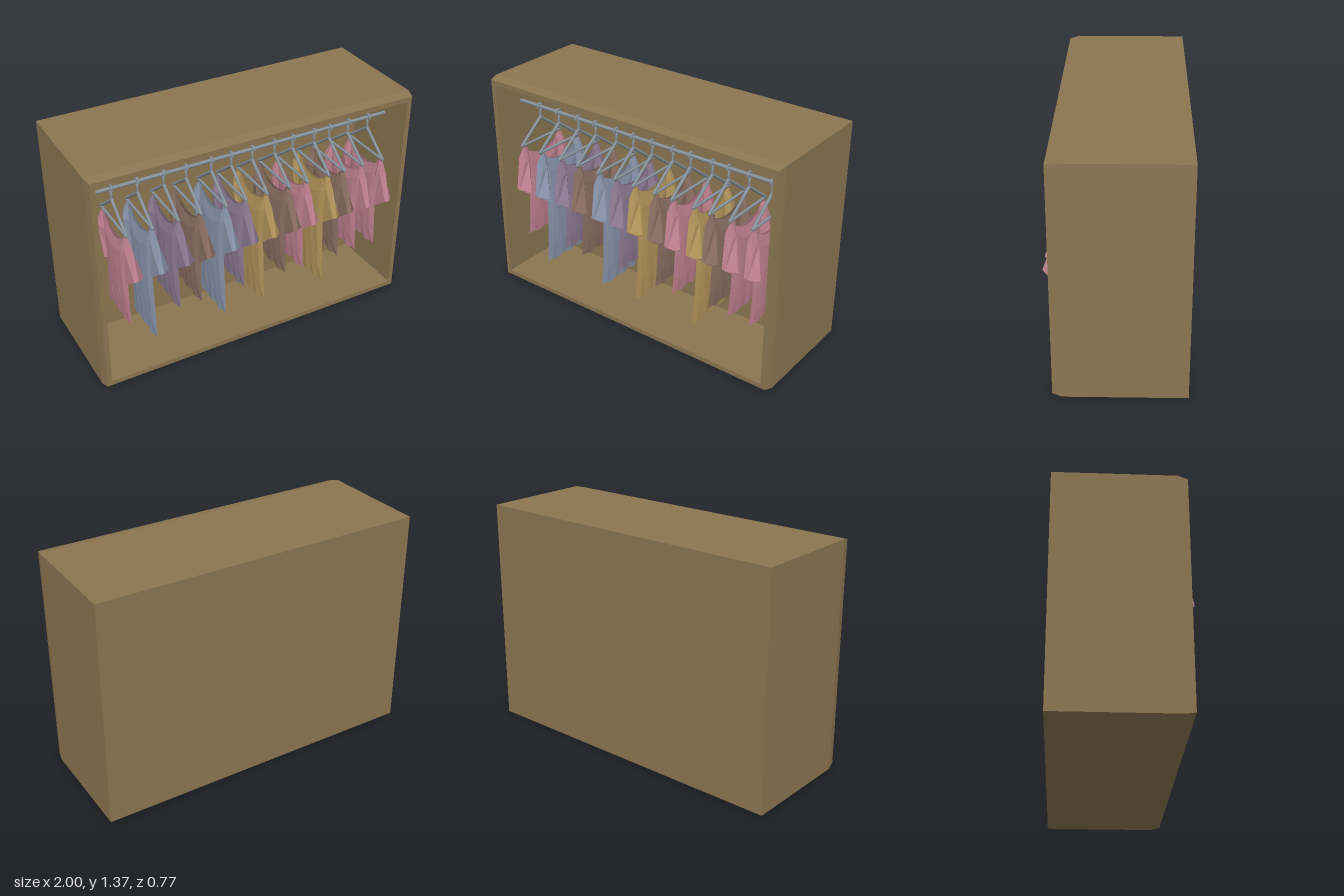
import * as THREE from 'three';

const mat = (name, color, side = THREE.FrontSide) => {
  const m = new THREE.MeshStandardMaterial({ color, side });
  m.name = name;
  return m;
};

// Joins closed rings of points into a faceted skin; cap closes the first and last ring
function loft(rings, cap = false) {
  const n = rings[0].length, pos = [], index = [];
  rings.forEach(r => r.forEach(p => pos.push(...p)));
  for (let i = 0; i < rings.length - 1; i++) {
    for (let j = 0; j < n; j++) {
      const k = (j + 1) % n;
      const a = i * n + j, b = i * n + k, c = b + n, d = a + n;
      index.push(a, b, c, a, c, d);
    }
  }
  if (cap) {
    const e = (rings.length - 1) * n;
    for (let j = 1; j < n - 1; j++) index.push(0, j + 1, j, e, e + j, e + j + 1);
  }
  const g = new THREE.BufferGeometry();
  g.setAttribute('position', new THREE.Float32BufferAttribute(pos, 3));
  g.setIndex(index);
  const flat = g.toNonIndexed();
  flat.computeVertexNormals();
  return flat;
}

function add(parent, name, geometry, material) {
  const m = new THREE.Mesh(geometry, material);
  m.name = name;
  parent.add(m);
  return m;
}

// Straight round bar between two points
function bar(parent, name, a, b, radius, material) {
  const p = new THREE.Vector3(...a), q = new THREE.Vector3(...b);
  const m = add(parent, name, new THREE.CylinderGeometry(radius, radius, p.distanceTo(q), 8), material);
  m.position.copy(p).add(q).multiplyScalar(0.5);
  m.quaternion.setFromUnitVectors(new THREE.Vector3(0, 1, 0), q.sub(p).normalize());
}

const RAIL_Y = 1.17, RAIL_Z = 0.145;

// Hanger local frame: rail at z = 0, heights are absolute
function makeHanger(metal) {
  const g = new THREE.Group();
  g.name = 'hanger';
  const hook = [];
  for (let i = 0; i <= 8; i++) {
    const a = -0.4 + i * (Math.PI + 0.7) / 8;
    hook.push(new THREE.Vector3(0, RAIL_Y + 0.017 * Math.sin(a), 0.017 * Math.cos(a)));
  }
  hook.push(new THREE.Vector3(0, 1.14, -0.004), new THREE.Vector3(0, 1.09, 0));
  add(g, 'hook', new THREE.TubeGeometry(new THREE.CatmullRomCurve3(hook), 24, 0.008, 6), metal);
  for (const s of [-1, 1]) bar(g, 'hangerArm', [0, 1.1, 0], [0, 0.965, s * 0.175], 0.009, metal);
  bar(g, 'hangerBar', [0, 0.965, -0.175], [0, 0.965, 0.175], 0.008, metal);
  return g;
}

// Thin hanging body: a flattened tube with soft folds and a scooped neck
function bodyGeometry(hem) {
  const COLS = 8;
  // fraction down, half width, half thickness
  const rows = [[0, 0.16, 0.008], [0.12, 0.145, 0.022], [0.35, 0.13, 0.022],
    [0.6, 0.14, 0.018], [0.82, 0.15, 0.013], [1, 0.16, 0.005]];
  return loft(rows.map(([f, w, t], r) => {
    const ring = [];
    for (let j = 0; j < COLS * 2; j++) {
      const side = j < COLS ? 1 : -1;
      const u = side * (1 - 2 * (j % COLS) / COLS);
      const top = 0.95 - 0.07 * (1 - u * u);
      const y = top + (hem - top) * f + (r === 5 ? 0.012 * (1 + Math.sin(u * 9)) : 0);
      const fold = 0.003 * Math.sin(u * 11 + r);
      ring.push([side * t * Math.sqrt(1 - u * u) + fold * f, y, u * w]);
    }
    return ring;
  }));
}

// Flared open sleeve on the +z side, leaning towards +x
function sleeveGeometry() {
  return loft([
    [[0.008, 0.955, 0.15], [0.008, 0.95, 0.165], [-0.004, 0.95, 0.165], [-0.006, 0.955, 0.15], [0, 0.94, 0.12]],
    [[0.03, 0.87, 0.15], [0.026, 0.87, 0.182], [-0.022, 0.89, 0.18], [-0.034, 0.85, 0.16], [0, 0.84, 0.115]],
    [[0.076, 0.685, 0.19], [0.025, 0.705, 0.24], [0, 0.705, 0.235], [-0.014, 0.635, 0.15], [0.02, 0.63, 0.135]]
  ]);
}

export function createModel() {
  const model = new THREE.Group();
  model.name = 'openWardrobe';
  const wood = mat('wood', 0x8c7651);
  const metal = mat('metal', 0x87929b);
  const cloth = {
    pink: mat('pink cloth', 0xc08290, THREE.DoubleSide),
    blue: mat('blue cloth', 0x8a96ad, THREE.DoubleSide),
    purple: mat('purple cloth', 0x8f7b95, THREE.DoubleSide),
    brown: mat('brown cloth', 0x8c7063, THREE.DoubleSide),
    yellow: mat('yellow cloth', 0xb5975c, THREE.DoubleSide)
  };

  // Cabinet: bevelled front edges and a recess with a deep back panel
  const rect = (inset, z) => {
    const x = 1 - inset, y0 = inset, y1 = 1.37 - inset;
    return [[-x, y0, z], [x, y0, z], [x, y1, z], [-x, y1, z]];
  };
  add(model, 'cabinet', loft([rect(0, -0.385), rect(0, 0.29), rect(0.013, 0.345),
    rect(0.042, 0.345), rect(0.042, -0.13)], true), wood);

  // Clothes rail
  bar(model, 'rail', [-0.957, RAIL_Y, RAIL_Z], [0.957, RAIL_Y, RAIL_Z], 0.011, metal);

  // Garments: position along the rail and colour; blue and yellow ones are long
  const garments = [[-0.8, 'pink'], [-0.65, 'blue'], [-0.495, 'purple'], [-0.36, 'brown'],
    [-0.205, 'blue'], [-0.08, 'purple'], [0.055, 'yellow'], [0.2, 'brown'], [0.32, 'pink'],
    [0.465, 'yellow'], [0.57, 'brown'], [0.7, 'pink'], [0.84, 'pink']];
  const shortBody = bodyGeometry(0.34), longBody = bodyGeometry(0.19), sleeve = sleeveGeometry();
  for (const [x, colour] of garments) {
    const g = new THREE.Group();
    g.name = 'hangingGarment';
    g.position.set(x, 0, RAIL_Z);
    g.add(makeHanger(metal));
    const long = colour === 'blue' || colour === 'yellow';
    add(g, 'garmentBody', long ? longBody : shortBody, cloth[colour]);
    add(g, 'frontSleeve', sleeve, cloth[colour]);
    add(g, 'backSleeve', sleeve, cloth[colour]).scale.z = -1;
    model.add(g);
  }
  return model;
}
